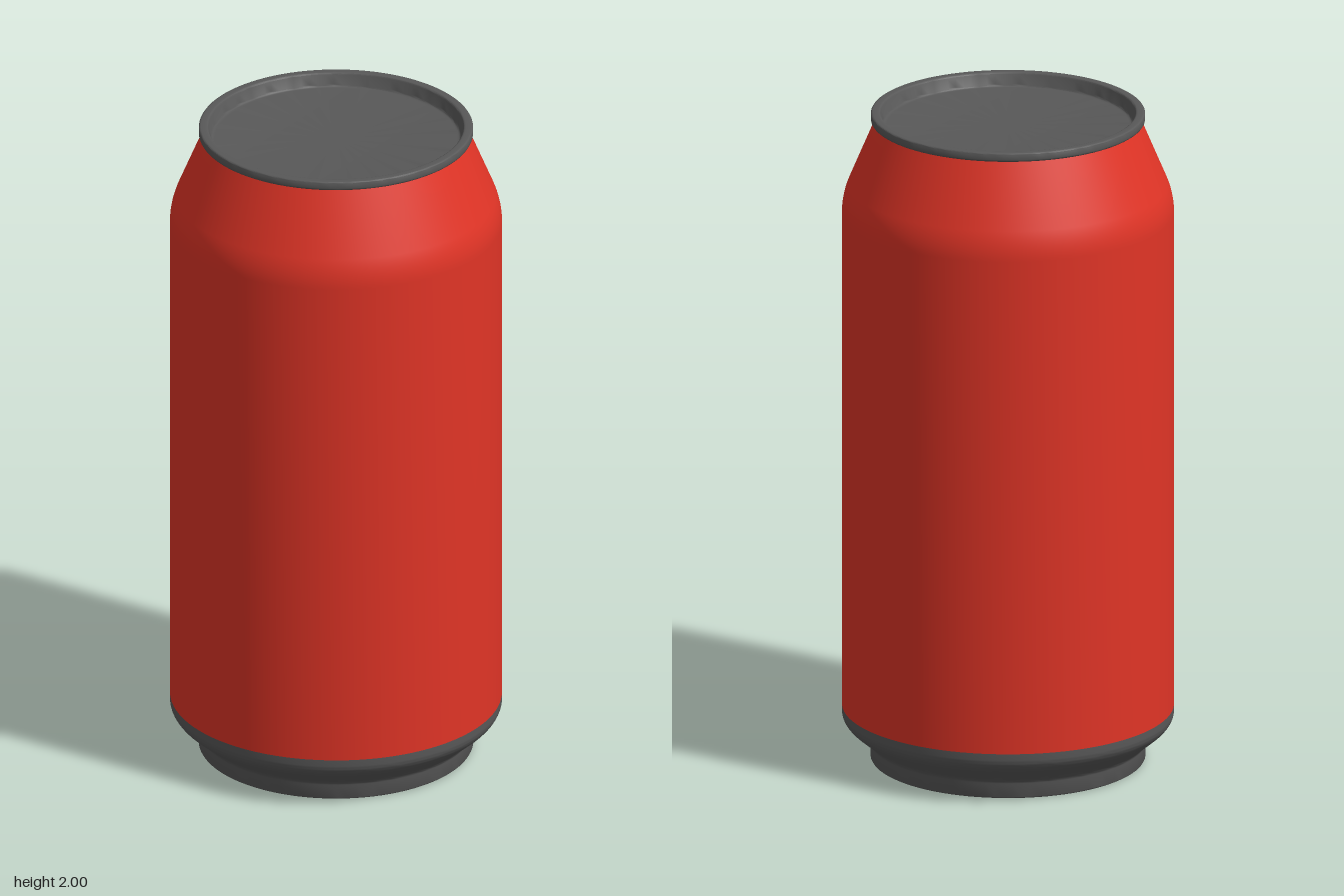
import * as THREE from 'three';
import { toCreasedNormals } from 'three/addons/utils/BufferGeometryUtils.js';

const SEGMENTS = 96;

// Revolve a [radius, height] profile, keeping sharp corners sharp
function revolve(name, profile, material) {
  const points = profile.map(([r, y]) => new THREE.Vector2(r, y));
  const geometry = toCreasedNormals(new THREE.LatheGeometry(points, SEGMENTS), 0.6);
  const mesh = new THREE.Mesh(geometry, material);
  mesh.name = name;
  return mesh;
}

// Rounded corner: points along a quadratic curve
function bend(a, control, b, steps = 6) {
  const curve = new THREE.QuadraticBezierCurve(
    new THREE.Vector2(...a), new THREE.Vector2(...control), new THREE.Vector2(...b));
  return curve.getPoints(steps).map((p) => [p.x, p.y]);
}

export function createModel() {
  const can = new THREE.Group();
  can.name = 'drinkCan';
  const red = new THREE.MeshStandardMaterial({ color: 0xe03426, side: THREE.DoubleSide });
  const grey = new THREE.MeshStandardMaterial({ color: 0x585858, side: THREE.DoubleSide });

  // Painted wall with its tapering shoulder
  can.add(revolve('body', [
    [0.49, 0.165],
    ...bend([0.49, 1.69], [0.49, 1.735], [0.472, 1.78], 8),
    [0.39, 1.975],
  ], red));

  // Recessed bottom, foot ring and flared lower edge
  can.add(revolve('base', [
    [0, 0.04], [0.375, 0.04],
    ...bend([0.382, 0.012], [0.384, 0], [0.392, 0], 4),
    ...bend([0.396, 0], [0.406, 0], [0.406, 0.01], 4),
    ...bend([0.406, 0.042], [0.406, 0.054], [0.416, 0.062], 4),
    ...bend([0.462, 0.1], [0.49, 0.123], [0.49, 0.145], 8),
    [0.49, 0.165],
  ], grey));

  // Seamed rim and sunken lid
  can.add(revolve('lid', [
    [0.388, 1.973],
    ...bend([0.398, 1.973], [0.405, 1.973], [0.405, 1.98], 4),
    ...bend([0.405, 1.993], [0.405, 2], [0.398, 2], 4),
    ...bend([0.384, 2], [0.376, 2], [0.375, 1.992], 4),
    ...bend([0.37, 1.966], [0.369, 1.958], [0.358, 1.958], 4),
    [0, 1.958],
  ], grey));

  return can;
}
